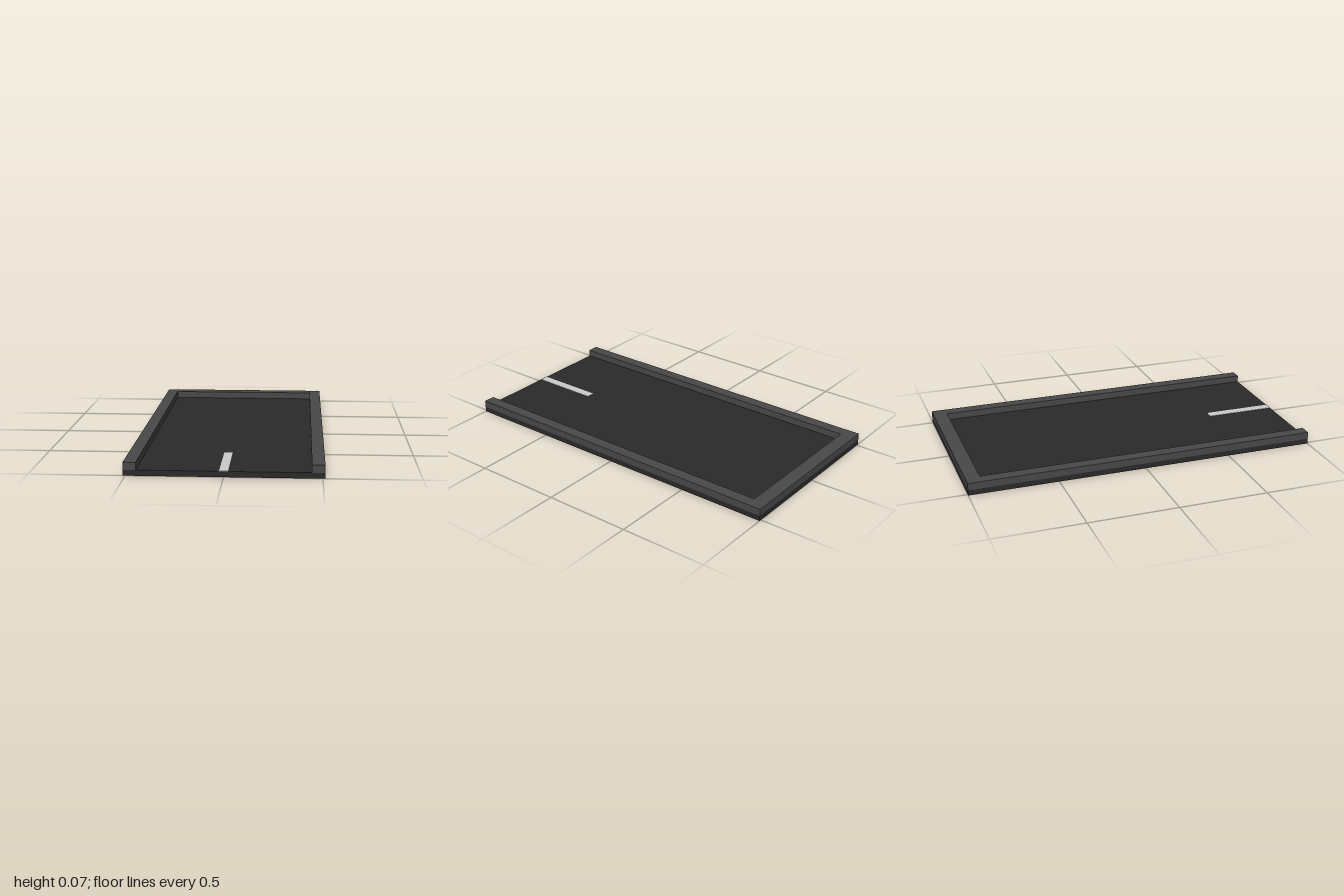
import * as THREE from 'three';

const HALF_W = 0.512, HALF_L = 1, SLAB_H = 0.03, TOP = 0.07;
const INNER_X = 0.445, INNER_BACK = 0.92;

function part(name, geometry, color) {
  const mesh = new THREE.Mesh(geometry, new THREE.MeshStandardMaterial({ color }));
  mesh.name = name;
  return mesh;
}

export function createModel() {
  const group = new THREE.Group();
  group.name = 'parkingBay';

  // Ground slab
  const slab = part('groundSlab', new THREE.BoxGeometry(HALF_W * 2, SLAB_H, HALF_L * 2), 0x2a2a2a);
  slab.position.y = SLAB_H / 2;
  group.add(slab);

  // U-shaped curb, open at the front; shape y becomes -z when laid flat
  const outline = [
    [-HALF_W, -HALF_L], [-INNER_X, -HALF_L], [-INNER_X, INNER_BACK], [INNER_X, INNER_BACK],
    [INNER_X, -HALF_L], [HALF_W, -HALF_L], [HALF_W, HALF_L], [-HALF_W, HALF_L],
  ].map(([x, y]) => new THREE.Vector2(x, y));
  const curbGeometry = new THREE.ExtrudeGeometry(new THREE.Shape(outline), {
    depth: TOP - SLAB_H, bevelEnabled: false,
  });
  curbGeometry.rotateX(-Math.PI / 2);
  const curb = part('curb', curbGeometry, 0x484848);
  curb.position.y = SLAB_H;
  group.add(curb);

  // Painted centre line at the open end
  const line = part('centreLine', new THREE.BoxGeometry(0.05, 0.002, 0.4), 0xcccccc);
  line.position.set(0, SLAB_H + 0.001, 0.8);
  group.add(line);

  return group;
}
